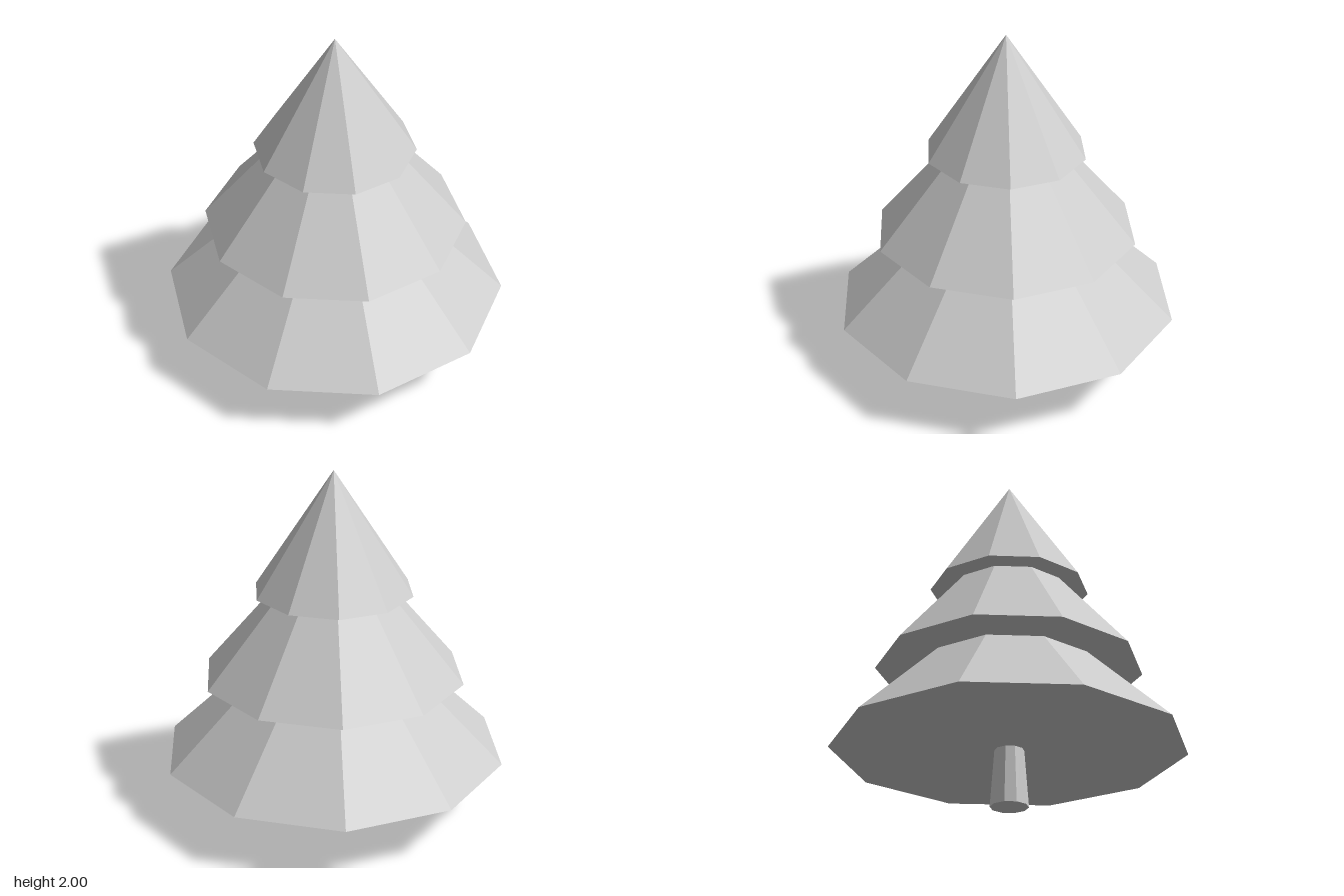
import * as THREE from 'three';

const SIDES = 10;

export function createModel() {
  const tree = new THREE.Group();
  tree.name = 'pineTree';
  const paleGrey = new THREE.MeshStandardMaterial({ color: 0xcccccc });
  paleGrey.name = 'paleGrey';

  // Ten-sided tapered solid with a corner on the x axis and flat facets
  function addTaper(name, bottomY, topY, bottomRadius, topRadius) {
    const height = topY - bottomY;
    const geometry = new THREE.CylinderGeometry(
      topRadius, bottomRadius, height, SIDES, 1, false, Math.PI / 2
    ).toNonIndexed();
    geometry.computeVertexNormals();
    const mesh = new THREE.Mesh(geometry, paleGrey);
    mesh.name = name;
    mesh.position.y = bottomY + height / 2;
    tree.add(mesh);
  }

  // Trunk, its top hidden inside the lowest tier
  addTaper('trunk', 0, 0.4, 0.107, 0.077);

  // Overlapping cones of foliage
  addTaper('lowerFoliage', 0.325, 1.29, 0.995, 0);
  addTaper('middleFoliage', 0.802, 1.7, 0.757, 0);
  addTaper('topFoliage', 1.305, 2, 0.457, 0);

  return tree;
}
